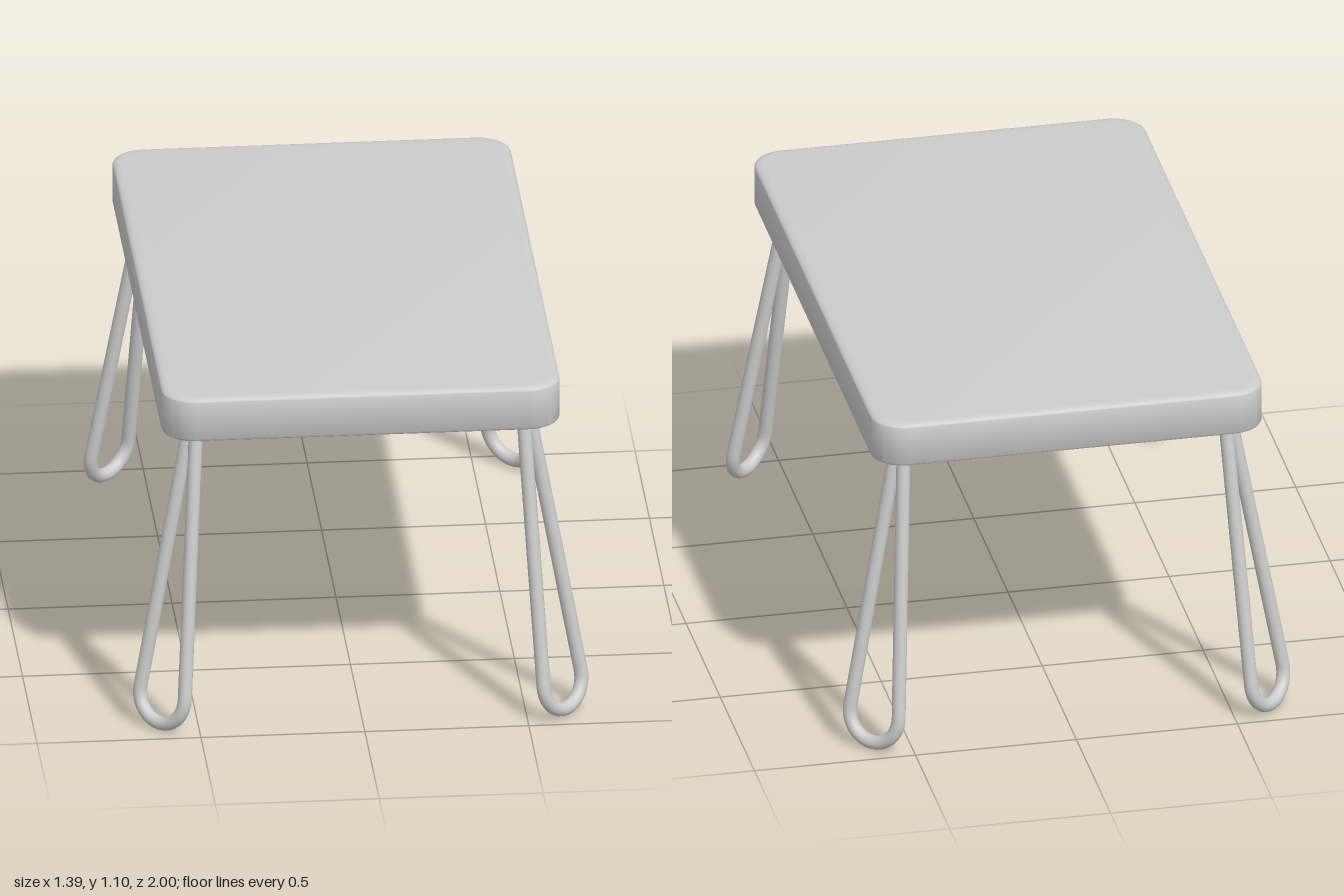
import * as THREE from 'three';
import { toCreasedNormals } from 'three/addons/utils/BufferGeometryUtils.js';

const grey = new THREE.MeshStandardMaterial({ color: 0xcccccc });

// Rounded rectangle outline, w and h are half sizes
function roundedRect(w, h, r) {
  const s = new THREE.Shape();
  s.absarc(w - r, h - r, r, 0, Math.PI / 2);
  s.absarc(-w + r, h - r, r, Math.PI / 2, Math.PI);
  s.absarc(-w + r, -h + r, r, Math.PI, Math.PI * 1.5);
  s.absarc(w - r, -h + r, r, Math.PI * 1.5, Math.PI * 2);
  s.closePath();
  return s;
}

// Slab with softly eased top and bottom rims
function tabletop() {
  const bottom = 0.955, top = 1.1, inset = 0.03, ease = 0.012;
  const geo = new THREE.ExtrudeGeometry(roundedRect(0.607 - inset, 0.94 - inset, 0.1 - inset), {
    depth: top - bottom - 2 * ease,
    bevelSize: inset, bevelThickness: ease, bevelSegments: 4, curveSegments: 8,
  });
  geo.rotateX(-Math.PI / 2).translate(0, bottom + ease, 0);
  const mesh = new THREE.Mesh(toCreasedNormals(geo, 0.6), grey);
  mesh.name = 'tabletop';
  return mesh;
}

// Hairpin leg: two rods joined by a round foot, in a plane leaning out of the corner
function hairpinLeg(sx, sz) {
  const r = 0.088, height = 0.87, gap = 0.012, tilt = 0.1;
  const centre = new THREE.Vector3(0.61, 0.11, 0.915);
  const across = new THREE.Vector3(1, 0, -1).normalize();
  const up = new THREE.Vector3(-0.12, 1, -0.12).normalize();
  const at = (s, t) => centre.clone().addScaledVector(across, s).addScaledVector(up, t)
    .multiply(new THREE.Vector3(sx, 1, sz));

  const flat = [];
  const footX = r * Math.cos(tilt), footY = r * Math.sin(tilt);
  const rod = (k, side) => flat.push([
    side * THREE.MathUtils.lerp(gap, footX, k), THREE.MathUtils.lerp(height, footY, k)]);
  const steps = [0, 0.25, 0.5, 0.75, 0.9, 0.97];
  steps.forEach((k) => rod(k, 1));
  for (let i = 0; i <= 12; i++) {
    const a = tilt - (Math.PI + 2 * tilt) * i / 12;
    flat.push([r * Math.cos(a), r * Math.sin(a)]);
  }
  [...steps].reverse().forEach((k) => rod(k, -1));

  const path = new THREE.CatmullRomCurve3(flat.map(([s, t]) => at(s, t)), false, 'centripetal');
  const mesh = new THREE.Mesh(new THREE.TubeGeometry(path, 120, 0.0215, 16), grey);
  mesh.name = `${sz > 0 ? 'front' : 'back'}${sx > 0 ? 'Left' : 'Right'}Leg`;
  return mesh;
}

export function createModel() {
  const table = new THREE.Group();
  table.name = 'table';
  table.add(tabletop());
  for (const sx of [1, -1]) for (const sz of [1, -1]) table.add(hairpinLeg(sx, sz));
  return table;
}
